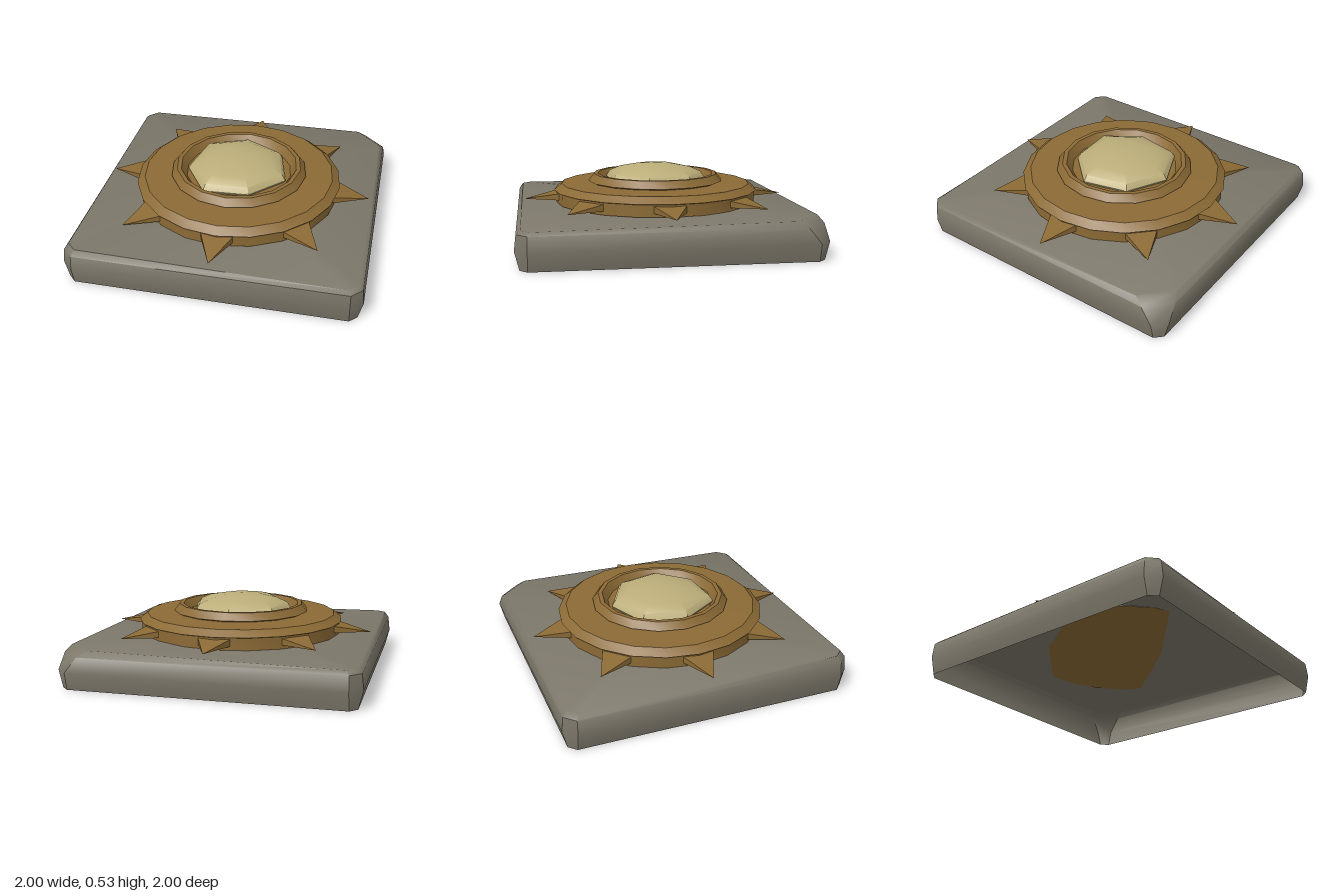
import * as THREE from 'three';
import { toCreasedNormals } from 'three/addons/utils/BufferGeometryUtils.js';

const material = (name, color, side = THREE.FrontSide) => {
  const m = new THREE.MeshStandardMaterial({ color, side });
  m.name = name;
  return m;
};

const mesh = (name, geometry, mat) => {
  const m = new THREE.Mesh(geometry, mat);
  m.name = name;
  return m;
};

const geometryFrom = (positions) => {
  const g = new THREE.BufferGeometry();
  g.setAttribute('position', new THREE.Float32BufferAttribute(positions, 3));
  return g;
};

// Square outline with cut corners; the corner at +x, -z takes its own cut
function slabRing({ y, half, cut, chip }) {
  const points = [];
  for (const [sx, sz] of [[1, 1], [1, -1], [-1, -1], [-1, 1]]) {
    const c = sx > 0 && sz < 0 ? chip : cut;
    const pair = [[sx * half, sz * (half - c)], [sx * (half - c), sz * half]];
    if (sx * sz > 0) pair.reverse();
    for (const [x, z] of pair) {
      // the worn top sinks slightly away from one diagonal
      const sink = y > 0.24 ? 0.011 * Math.abs(x + z + 0.2) : 0;
      points.push([x, y - sink, z]);
    }
  }
  return points;
}

// Worn stone slab, hollow underneath
function slabGeometry() {
  const rings = [
    { y: 0, half: 0.97, cut: 0.05, chip: 0.05 },
    { y: 0.12, half: 1.0, cut: 0.08, chip: 0.08 },
    { y: 0.225, half: 0.988, cut: 0.07, chip: 0.15 },
    { y: 0.268, half: 0.96, cut: 0.06, chip: 0.18 },
  ].map(slabRing);
  const out = [];
  const count = rings[0].length;
  for (let i = 0; i < count; i++) {
    const j = (i + 1) % count;
    for (let r = 0; r < rings.length - 1; r++) {
      const a = rings[r], b = rings[r + 1];
      out.push(...a[i], ...a[j], ...b[j], ...a[i], ...b[j], ...b[i]);
    }
    const top = rings[rings.length - 1];
    out.push(-0.1, 0.27, -0.1, ...top[i], ...top[j]);
  }
  return toCreasedNormals(geometryFrom(out), 0.75);
}

// Turned part from [radius, height] pairs, listed bottom to top
const turned = (profile, sides) => toCreasedNormals(
  new THREE.LatheGeometry(profile.map(([r, y]) => new THREE.Vector2(r, y)), sides), 0.45);

// Flat ray, pointing along +z, that slopes down to its tip
function rayGeometry() {
  const w = 0.125, back = 0.66, low = 0.288, high = 0.342;
  const tip = [0, low, 0.94];
  const lt = [-w, high, back], rt = [w, high, back];
  const lb = [-w, low, back], rb = [w, low, back];
  const g = geometryFrom([
    ...lt, ...tip, ...rt,
    ...lb, ...tip, ...lt,
    ...rt, ...tip, ...rb,
    ...lb, ...rb, ...tip,
  ]);
  g.computeVertexNormals();
  return g;
}

// Low, uneven domed stone
function gemGeometry() {
  const g = new THREE.SphereGeometry(0.365, 7, 8);
  const p = g.attributes.position;
  for (let i = 0; i < p.count; i++) {
    const x = p.getX(i), z = p.getZ(i);
    const k = 1 + 0.04 * Math.sin(3 * Math.atan2(z, x) + 1);
    p.setXYZ(i, x * k, p.getY(i) * 0.3, z * k);
  }
  g.rotateY(0.2);
  g.translate(-0.01, 0.42, 0);
  return toCreasedNormals(g, 0.6);
}

export function createModel() {
  const stone = material('stone', 0x7c776a, THREE.DoubleSide);
  const gold = material('old gold', 0x8b6a35);
  const cream = material('cream gem', 0xbcae7a);

  const model = new THREE.Group();
  model.name = 'sunMedallionSlab';
  model.add(mesh('slab', slabGeometry(), stone));

  const medallion = new THREE.Group();
  medallion.name = 'medallion';
  model.add(medallion);

  // Broad disc with a bevelled upper edge
  medallion.add(mesh('disc', turned([
    [0, 0.263], [0.715, 0.263], [0.715, 0.345], [0.73, 0.35],
    [0.675, 0.393], [0.46, 0.4], [0, 0.4],
  ], 20), gold));

  // Raised collar around the gem
  medallion.add(mesh('collar', turned([
    [0.45, 0.395], [0.485, 0.41], [0.445, 0.46], [0.415, 0.46], [0.375, 0.4],
  ], 16), gold));

  // Eight rays
  const ray = rayGeometry();
  for (let i = 0; i < 8; i++) {
    const m = mesh('ray', ray, gold);
    m.rotation.y = (i * Math.PI) / 4;
    medallion.add(m);
  }

  medallion.add(mesh('gem', gemGeometry(), cream));
  return model;
}
